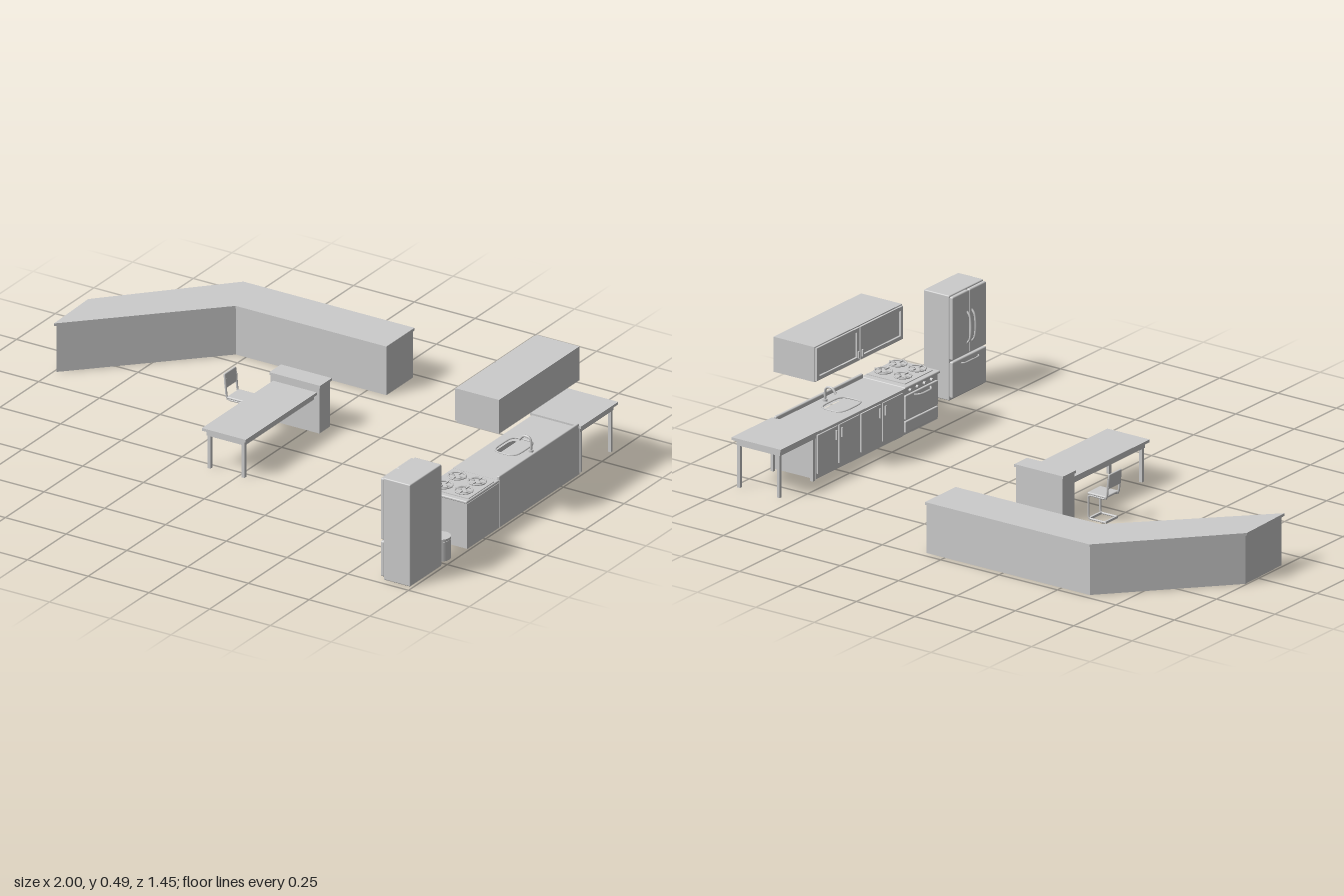
import * as THREE from 'three';
import { RoundedBoxGeometry } from 'three/addons/geometries/RoundedBoxGeometry.js';

const mat = new THREE.MeshStandardMaterial({ color: 0xcccccc });
const matDouble = new THREE.MeshStandardMaterial({ color: 0xcccccc, side: THREE.DoubleSide });

function add(parent, name, geometry, material = mat) {
  const mesh = new THREE.Mesh(geometry, material);
  mesh.name = name;
  parent.add(mesh);
  return mesh;
}
function group(parent, name) {
  const g = new THREE.Group();
  g.name = name;
  parent.add(g);
  return g;
}
// Box given by its limits on each axis; r rounds the edges
function box(parent, name, x0, x1, y0, y1, z0, z1, r = 0) {
  const size = [x1 - x0, y1 - y0, z1 - z0];
  const geo = r ? new RoundedBoxGeometry(...size, 2, r) : new THREE.BoxGeometry(...size);
  const mesh = add(parent, name, geo);
  mesh.position.set((x0 + x1) / 2, (y0 + y1) / 2, (z0 + z1) / 2);
  return mesh;
}
function cylinder(parent, name, x, y0, y1, z, r, sides = 24) {
  const mesh = add(parent, name, new THREE.CylinderGeometry(r, r, y1 - y0, sides));
  mesh.position.set(x, (y0 + y1) / 2, z);
  return mesh;
}
function tube(parent, name, points, r, tension = 0.5) {
  const path = new THREE.CatmullRomCurve3(points.map(p => new THREE.Vector3(...p)), false, 'catmullrom', tension);
  return add(parent, name, new THREE.TubeGeometry(path, 28, r, 8), matDouble);
}
// Floor plan outline of [x, z] pairs raised from y0 to y1
function plan(parent, name, outline, y0, y1, hole) {
  const pts = list => list.map(([x, z]) => new THREE.Vector2(x, -z));
  const shape = new THREE.Shape(pts(outline));
  if (hole) shape.holes.push(new THREE.Path(pts(hole)));
  const geo = new THREE.ExtrudeGeometry(shape, { depth: y1 - y0, bevelEnabled: false }).rotateX(-Math.PI / 2);
  const mesh = add(parent, name, geo);
  mesh.position.y = y0;
  return mesh;
}
const rect = (x0, x1, z0, z1) => [[x0, z0], [x1, z0], [x1, z1], [x0, z1]];

// Table top with an apron frame and legs at the listed z ends
function table(parent, name, x0, x1, z0, z1, h, legZ) {
  const g = group(parent, name);
  box(g, 'tableTop', x0, x1, h - 0.01, h, z0, z1);
  const a = 0.012, t = 0.008;
  plan(g, 'apron', rect(x0 + a, x1 - a, z0 + a, z1 - a), h - 0.03, h - 0.01,
    rect(x0 + a + t, x1 - a - t, z0 + a + t, z1 - a - t));
  for (const x of [x0 + 0.02, x1 - 0.02])
    for (const z of legZ) box(g, 'leg', x - 0.006, x + 0.006, 0, h - 0.01, z - 0.006, z + 0.006);
}

function receptionCounter(root) {
  const g = group(root, 'angledCounter');
  plan(g, 'counterBody', [[-0.995, -0.32], [-0.62, -0.725], [0.078, -0.725], [0.078, -0.555], [-0.542, -0.555], [-0.99, -0.1]], 0, 0.18);
  plan(g, 'counterTop', [[-1, -0.32], [-0.622, -0.73], [0.082, -0.73], [0.082, -0.548], [-0.538, -0.548], [-0.993, -0.087]], 0.18, 0.19);
}

function deskArea(root) {
  table(root, 'desk', -0.14, 0.04, -0.2, 0.295, 0.155, [0.275]);
  const c = group(root, 'deskCabinet');
  box(c, 'cabinetBody', -0.15, 0.05, 0, 0.175, -0.235, -0.165);
  box(c, 'cabinetTop', -0.154, 0.055, 0.175, 0.185, -0.238, -0.162);

  // Chair on sled rails, facing the desk
  const ch = group(root, 'chair');
  box(ch, 'seat', -0.265, -0.185, 0.095, 0.104, -0.138, -0.06, 0.004);
  const back = box(ch, 'backrest', -0.278, -0.27, 0.133, 0.188, -0.136, -0.062, 0.003);
  back.rotation.z = 0.08;
  for (const z of [-0.134, -0.064])
    tube(ch, 'sideFrame', [[-0.273, 0.17, z], [-0.268, 0.11, z], [-0.26, 0.093, z], [-0.195, 0.093, z], [-0.188, 0.085, z],
      [-0.188, 0.015, z], [-0.195, 0.006, z], [-0.262, 0.006, z]], 0.004, 0.2);
  for (const x of [-0.26, -0.192]) box(ch, 'floorBar', x - 0.004, x + 0.004, 0.002, 0.01, -0.134, -0.064);
}

function kitchenCounter(root) {
  const g = group(root, 'sinkCounter');
  const z0 = -0.37, z1 = 0.147, cz = -0.112, cx = 0.885;
  // Superellipse opening for the basin
  const basin = Array.from({ length: 32 }, (_, i) => {
    const a = i / 32 * Math.PI * 2, p = v => Math.sign(v) * Math.sqrt(Math.abs(v));
    return [cx + 0.048 * p(Math.cos(a)), cz + 0.068 * p(Math.sin(a))];
  });
  box(g, 'base', 0.81, 0.99, 0, 0.13, z0, z1);
  plan(g, 'basinSurround', rect(0.81, 0.99, z0, z1), 0.13, 0.17, basin);
  plan(g, 'worktop', rect(0.798, 0.99, z0, z1), 0.17, 0.18, basin);
  box(g, 'backsplash', 0.978, 0.99, 0.17, 0.195, z0, z1, 0.004);
  const rim = new THREE.CatmullRomCurve3(basin.map(([x, z]) => new THREE.Vector3(x, 0.181, z)), true);
  add(g, 'basinRim', new THREE.TubeGeometry(rim, 64, 0.003, 6, true));
  cylinder(g, 'drain', cx, 0.13, 0.133, cz, 0.01);
  cylinder(g, 'tapBase', 0.955, 0.18, 0.188, cz, 0.009);
  tube(g, 'tap', [[0.955, 0.18, cz], [0.955, 0.218, cz], [0.945, 0.232, cz], [0.925, 0.232, cz], [0.908, 0.215, cz]], 0.0045);
  // Four doors with pull handles
  const w = (z1 - z0) / 4;
  for (let i = 0; i < 4; i++) {
    const a = z0 + i * w + 0.005, b = a + w - 0.01;
    box(g, 'door', 0.804, 0.812, 0.02, 0.163, a, b);
    const hz = i % 2 ? a + 0.012 : b - 0.012;
    box(g, 'doorHandle', 0.798, 0.804, 0.115, 0.15, hz - 0.003, hz + 0.003);
  }
}

function stove(root) {
  const g = group(root, 'stove');
  box(g, 'stoveBody', 0.812, 0.99, 0, 0.172, 0.15, 0.355);
  box(g, 'cooktop', 0.8, 0.99, 0.172, 0.182, 0.148, 0.358, 0.004);
  box(g, 'burnerTray', 0.82, 0.984, 0.18, 0.185, 0.174, 0.338);
  for (const x of [0.861, 0.943])
    for (const z of [0.217, 0.303]) {
      cylinder(g, 'burner', x, 0.185, 0.191, z, 0.016);
      const ring = add(g, 'grateRing', new THREE.TorusGeometry(0.031, 0.003, 6, 24));
      ring.rotation.x = Math.PI / 2;
      ring.position.set(x, 0.193, z);
      for (let i = 0; i < 4; i++) {
        const bar = add(g, 'grateBar', new THREE.BoxGeometry(0.026, 0.005, 0.004));
        const a = i * Math.PI / 2;
        bar.position.set(x + 0.023 * Math.cos(a), 0.194, z + 0.023 * Math.sin(a));
        bar.rotation.y = -a;
      }
    }
  // Oven door, drawer, knobs and bowed handle
  box(g, 'ovenDoor', 0.803, 0.813, 0.058, 0.148, 0.156, 0.349, 0.003);
  box(g, 'ovenDrawer', 0.803, 0.813, 0.01, 0.052, 0.156, 0.349, 0.003);
  tube(g, 'ovenHandle', [[0.805, 0.138, 0.205], [0.789, 0.138, 0.225], [0.786, 0.138, 0.255], [0.789, 0.138, 0.285], [0.805, 0.138, 0.305]], 0.004);
  for (let i = 0; i < 4; i++) {
    const knob = cylinder(g, 'knob', 0.808, 0.154, 0.164, 0.19 + i * 0.042, 0.006, 16);
    knob.rotation.z = Math.PI / 2;
  }
}

function wallCabinet(root) {
  const g = group(root, 'wallCabinet');
  box(g, 'wallCabinetBody', 0.815, 0.99, 0.36, 0.49, -0.37, 0.15);
  for (const [a, b] of [[-0.366, -0.113], [-0.107, 0.146]]) {
    // Framed door with a recessed panel
    const t = 0.014;
    box(g, 'doorRail', 0.807, 0.815, 0.364, 0.364 + t, a, b);
    box(g, 'doorRail', 0.807, 0.815, 0.486 - t, 0.486, a, b);
    box(g, 'doorStile', 0.807, 0.815, 0.364 + t, 0.486 - t, a, a + t);
    box(g, 'doorStile', 0.807, 0.815, 0.364 + t, 0.486 - t, b - t, b);
    const hz = a < -0.2 ? b - 0.008 : a + 0.008;
    box(g, 'doorHandle', 0.801, 0.807, 0.375, 0.4, hz - 0.003, hz + 0.003);
  }
}

function fridge(root) {
  const g = group(root, 'refrigerator');
  box(g, 'fridgeBody', 0.88, 0.99, 0, 0.39, 0.52, 0.724, 0.004);
  box(g, 'freezerDrawer', 0.866, 0.882, 0.01, 0.145, 0.522, 0.722, 0.005);
  for (const s of [-1, 1]) {
    const zc = 0.622 + s * 0.0505;
    box(g, 'fridgeDoor', 0.866, 0.882, 0.151, 0.386, zc - 0.0495, zc + 0.0495, 0.005);
    const z = 0.622 + s * 0.014;
    tube(g, 'fridgeHandle', [[0.868, 0.19, z], [0.855, 0.21, z], [0.851, 0.25, z], [0.855, 0.29, z], [0.868, 0.31, z]], 0.004);
  }
  tube(g, 'freezerHandle', [[0.868, 0.128, 0.57], [0.857, 0.128, 0.585], [0.856, 0.128, 0.622], [0.857, 0.128, 0.66], [0.868, 0.128, 0.675]], 0.003);
}

function wasteBin(root) {
  const g = group(root, 'wasteBin');
  cylinder(g, 'binBody', 0.953, 0.003, 0.076, 0.468, 0.035, 32);
  cylinder(g, 'binLid', 0.953, 0.078, 0.087, 0.468, 0.036, 32);
  cylinder(g, 'binNeck', 0.953, 0.076, 0.078, 0.468, 0.033, 32);
  box(g, 'pedal', 0.902, 0.925, 0.004, 0.01, 0.455, 0.481);
}

export function createModel() {
  const root = new THREE.Group();
  root.name = 'officeKitchen';
  receptionCounter(root);
  deskArea(root);
  kitchenCounter(root);
  stove(root);
  wallCabinet(root);
  fridge(root);
  wasteBin(root);
  table(root, 'sideTable', 0.79, 1, -0.605, -0.365, 0.187, [-0.585, -0.388]);
  return root;
}
